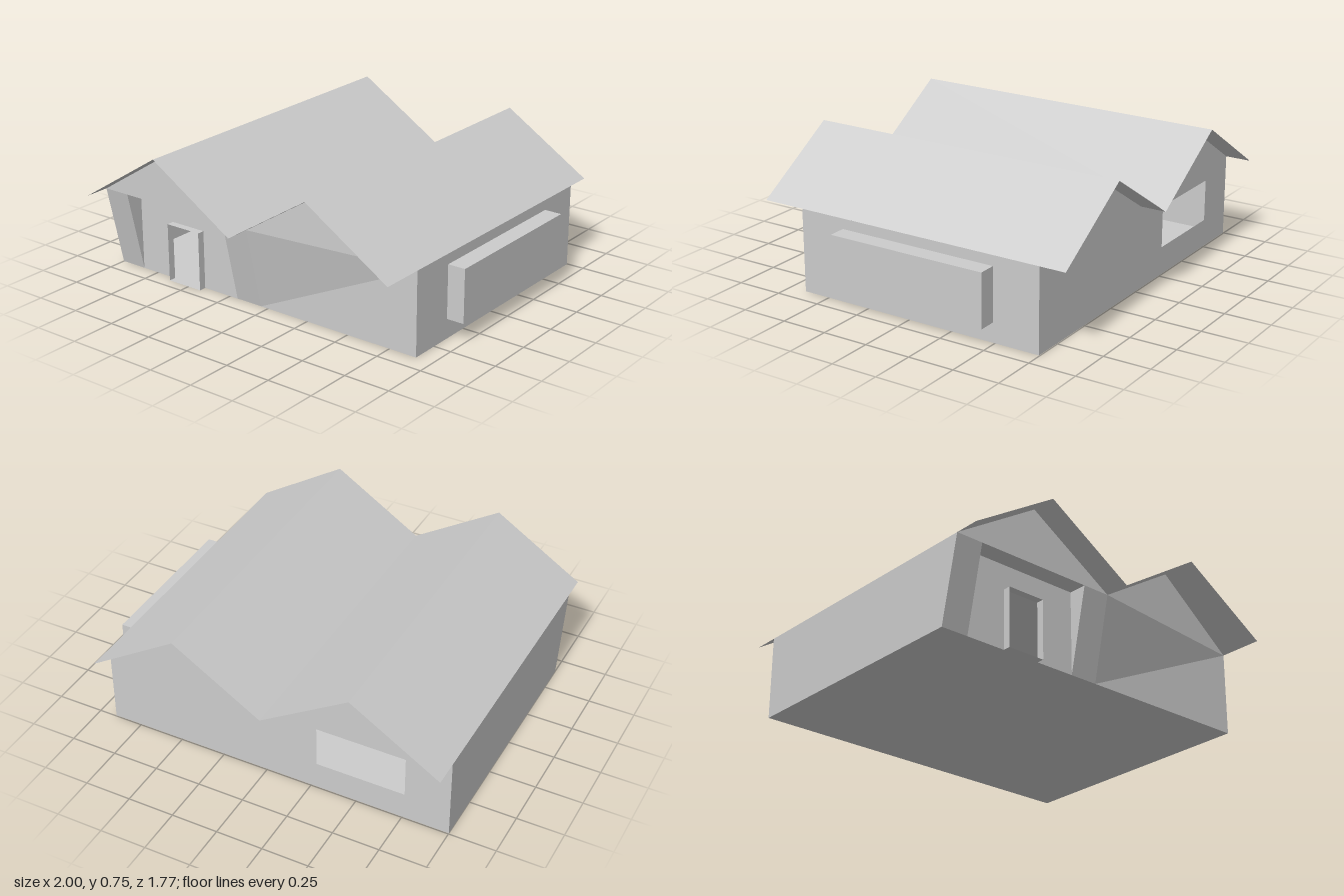
import * as THREE from 'three';

const material = new THREE.MeshStandardMaterial({ color: 0xcccccc, flatShading: true, side: THREE.DoubleSide });

// Main dimensions
const L = -1, R = 0.905, VALLEY = -0.045;         // eaves and valley in x
const RIDGES = [-0.525, 0.43];
const EAVE = 0.445, TOP = 0.745;
const BACK = -0.745, FRONT = 0.65, LEAN = 0.75;   // wall planes in z
const ROOF_Z = 0.885;
const RECESS = [-0.85, -0.2];

export function createModel() {
  const house = new THREE.Group();
  house.name = 'house';

  const add = (name, geometry) => {
    const mesh = new THREE.Mesh(geometry, material);
    mesh.name = name;
    house.add(mesh);
    return mesh;
  };

  // Flat panel from its corners, counter-clockwise seen from outside
  const panel = (name, ...corners) => {
    const geometry = new THREE.BufferGeometry();
    geometry.setAttribute('position', new THREE.Float32BufferAttribute(corners.flat(), 3));
    const index = [];
    for (let i = 1; i < corners.length - 1; i++) index.push(0, i, i + 1);
    geometry.setIndex(index);
    const flat = geometry.toNonIndexed();
    flat.computeVertexNormals();
    return add(name, flat);
  };

  const outline = (points) => points.map(([x, y]) => new THREE.Vector2(x, y));
  const rect = (x0, x1, y0, y1) => outline([[x0, y0], [x1, y0], [x1, y1], [x0, y1]]);

  // Floor and side walls
  panel('floor', [L, 0, BACK], [R, 0, BACK], [R, 0, FRONT], [L, 0, FRONT]);
  panel('leftWall', [R, 0, FRONT], [R, 0, BACK], [R, EAVE, BACK], [R, EAVE, FRONT]);
  panel('rightWall', [L, 0, BACK], [L, 0, FRONT], [L, EAVE, LEAN], [L, EAVE, BACK]);

  // Back wall with twin gables and a window; drawn mirrored, then turned to face -z
  const backShape = new THREE.Shape(outline([
    [-R, 0], [-L, 0], [-L, EAVE], [-RIDGES[0], TOP], [-VALLEY, EAVE], [-RIDGES[1], TOP], [-R, EAVE],
  ]));
  backShape.holes.push(new THREE.Path(rect(0.28, 0.76, 0.15, 0.375)));
  const back = add('backWall', new THREE.ShapeGeometry(backShape));
  back.rotation.y = Math.PI;
  back.position.z = BACK;

  // Recessed entrance wall with doorway
  const [d0, d1, doorTop] = [-0.63, -0.42, 0.315];
  const entrance = new THREE.Shape(outline([
    [RECESS[0], 0], [d0, 0], [d0, doorTop], [d1, doorTop], [d1, 0],
    [RECESS[1], 0], [RECESS[1], EAVE], [RECESS[0], EAVE],
  ]));
  add('entranceWall', new THREE.ShapeGeometry(entrance)).position.z = FRONT;

  // Thin frame standing out around the doorway
  const corners = [[d0, 0], [d1, 0], [d1, doorTop], [d0, doorTop]];
  corners.forEach(([x, y], i) => {
    const [u, v] = corners[(i + 1) % 4];
    panel('doorFrame', [x, y, FRONT], [u, v, FRONT], [u, v, 0.69], [x, y, 0.69]);
  });

  // Leaning piers either side of the entrance, with their inner cheeks
  for (const [a, b] of [[L, RECESS[0]], [RECESS[1], VALLEY]]) {
    panel('leaningPier', [a, 0, FRONT], [b, 0, FRONT], [b, EAVE, LEAN], [a, EAVE, LEAN]);
  }
  panel('pierCheek', [RECESS[0], 0, FRONT], [RECESS[0], EAVE, FRONT], [RECESS[0], EAVE, LEAN]);
  panel('pierCheek', [RECESS[1], 0, FRONT], [RECESS[1], EAVE, LEAN], [RECESS[1], EAVE, FRONT]);
  panel('entranceSoffit', [RECESS[0], EAVE, FRONT], [RECESS[1], EAVE, FRONT],
    [RECESS[1], EAVE, LEAN], [RECESS[0], EAVE, LEAN]);

  // Wing wall, easing from the leaning pier to the upright corner
  panel('wingWall', [VALLEY, 0, FRONT], [R, 0, FRONT], [R, EAVE, FRONT], [VALLEY, EAVE, LEAN]);

  // Front gables
  panel('entranceGable', [L, EAVE, LEAN], [VALLEY, EAVE, LEAN], [RIDGES[0], TOP, LEAN]);
  panel('wingGable', [VALLEY, EAVE, LEAN], [R, EAVE, FRONT], [RIDGES[1], TOP, (LEAN + FRONT) / 2]);

  // Twin-pitched roof sheets
  const profile = [[L, EAVE], [RIDGES[0], TOP], [VALLEY, EAVE], [RIDGES[1], TOP], [R, EAVE]];
  for (let i = 0; i < 4; i++) {
    const [[x0, y0], [x1, y1]] = [profile[i], profile[i + 1]];
    panel('roofSlope', [x0, y0, ROOF_Z], [x1, y1, ROOF_Z], [x1, y1, -ROOF_Z], [x0, y0, -ROOF_Z]);
  }

  // Bay window on the left side
  add('bayWindow', new THREE.BoxGeometry(0.095, 0.285, 0.885)).position.set(0.9525, 0.2475, -0.0475);

  return house;
}
